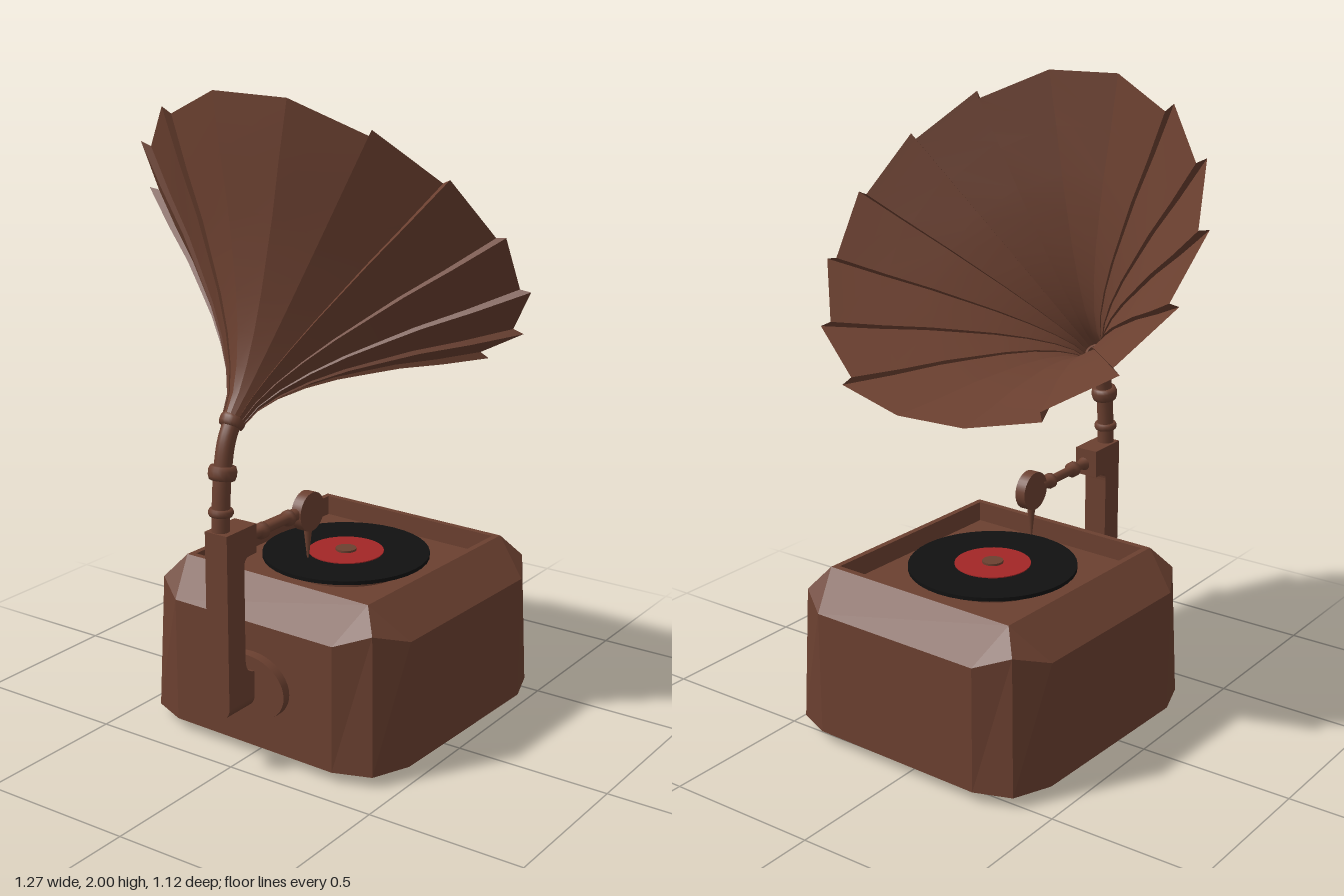
import * as THREE from 'three';

const brown = new THREE.MeshStandardMaterial({ color: 0x6b4030, side: THREE.DoubleSide });
brown.name = 'brown wood';
const black = new THREE.MeshStandardMaterial({ color: 0x111111 });
black.name = 'black vinyl';
const red = new THREE.MeshStandardMaterial({ color: 0xa32626 });
red.name = 'red label';

function add(parent, name, geometry, material = brown) {
  const mesh = new THREE.Mesh(geometry, material);
  mesh.name = name;
  parent.add(mesh);
  return mesh;
}

// Builds an indexed surface from equal-length rows of [x, y, z]
function surface(rows, closed) {
  const n = rows[0].length, index = [];
  for (let i = 0; i < rows.length - 1; i++) {
    for (let j = 0; j < (closed ? n : n - 1); j++) {
      const k = (j + 1) % n;
      const a = i * n + j, b = i * n + k, c = (i + 1) * n + k, d = (i + 1) * n + j;
      index.push(a, b, c, a, c, d);
    }
  }
  const g = new THREE.BufferGeometry();
  g.setAttribute('position', new THREE.Float32BufferAttribute(rows.flat(2), 3));
  g.setIndex(index);
  return g;
}

// Horizontal ring of four corners, each given by three points [x, y, z] in the positive quadrant
function cornerRing(points) {
  const ring = [];
  for (const [sx, sz] of [[1, 1], [1, -1], [-1, -1], [-1, 1]]) {
    const corner = points.map(([x, y, z]) => [x * sx, y, z * sz]);
    ring.push(...(sx * sz > 0 ? corner : corner.reverse()));
  }
  return ring;
}
const square = (x, y, z) => cornerRing([[x, y, z], [x, y, z], [x, y, z]]);

// Cabinet with cut corners, sloped shoulders, a sunken top and a shallow pointed base
function cabinetGeometry() {
  const g = surface([
    square(0, 0, 0),
    cornerRing([[0.3, 0.035, 0.478], [0.415, 0.035, 0.432], [0.4625, 0.035, 0.31]]),
    cornerRing([[0.3, 0.435, 0.478], [0.4, 0.47, 0.417], [0.4625, 0.435, 0.31]]),
    square(0.347, 0.54, 0.365),
    square(0.328, 0.54, 0.345),
    square(0.328, 0.475, 0.345),
    square(0, 0.475, 0),
  ], true).toNonIndexed();
  g.computeVertexNormals();
  return g;
}

// C-shaped bracket outline in z and y
function bracketGeometry() {
  const s = new THREE.Shape();
  s.moveTo(0.555, 0.22);
  s.lineTo(0.555, 0.76);
  s.lineTo(0.415, 0.76);
  s.lineTo(0.415, 0.67);
  s.lineTo(0.45, 0.67);
  s.quadraticCurveTo(0.475, 0.67, 0.475, 0.64);
  s.lineTo(0.475, 0.35);
  s.quadraticCurveTo(0.475, 0.305, 0.43, 0.3);
  s.lineTo(0.41, 0.3);
  s.lineTo(0.41, 0.22);
  const g = new THREE.ExtrudeGeometry(s, { depth: 0.08, bevelEnabled: false, curveSegments: 6 });
  return g.rotateY(-Math.PI / 2).translate(0.0425, 0, 0);
}

// Horn panels: straight across, stepped where neighbours overlap
function buildHorn() {
  const horn = new THREE.Group();
  horn.name = 'horn';
  const profile = [[0, 0.035], [0.06, 0.05], [0.13, 0.087], [0.21, 0.145], [0.295, 0.22],
    [0.37, 0.297], [0.45, 0.38], [0.55, 0.498], [0.665, 0.625]];
  const count = 16, step = Math.PI * 2 / count, high = 1.03, low = 0.975;
  const column = (angle, scale) => profile.map(([s, r]) => {
    const k = r * scale;
    return [k * Math.sin(angle), s, k * Math.cos(angle)];
  });
  const strip = (name, a, b) => {
    const g = surface([a, b], false);
    g.computeVertexNormals();
    add(horn, name, g);
  };
  // Each panel is widest at the end nearer the top
  const scales = (k) => {
    if (k === 0) return [high, high];
    if (k === count / 2) return [low, low];
    return k < count / 2 ? [high, low] : [low, high];
  };
  for (let k = 0; k < count; k++) {
    const start = (k - 0.5) * step + 0.035, end = start + step;
    const [s0, s1] = scales(k), next = scales((k + 1) % count)[0];
    strip('hornPanel', column(start, s0), column(end, s1));
    if (next !== s1) strip('hornSeam', column(end, s1), column(end, next));
  }
  // Local y runs along the horn axis, local z points to the top of the mouth
  const axis = new THREE.Vector3(0, 0.678, -0.735).normalize();
  const up = new THREE.Vector3(0, 0.735, 0.678).normalize();
  const side = new THREE.Vector3().crossVectors(axis, up);
  horn.quaternion.setFromRotationMatrix(new THREE.Matrix4().makeBasis(side, axis, up));
  horn.position.set(0, 1.08, 0.46);
  return horn;
}

export function createModel() {
  const model = new THREE.Group();
  model.name = 'gramophone';

  // Cabinet and record, turned very slightly
  const base = new THREE.Group();
  base.name = 'base';
  base.position.set(0.0225, 0, -0.077);
  base.rotation.y = -0.033;
  model.add(base);
  add(base, 'cabinet', cabinetGeometry());
  for (const [name, r, bottom, top, mat] of [
    ['platter', 0.2, 0.475, 0.51, brown],
    ['record', 0.266, 0.508, 0.52, black],
    ['recordLabel', 0.12, 0.518, 0.523, red],
    ['spindle', 0.033, 0.518, 0.53, brown],
  ]) {
    add(base, name, new THREE.CylinderGeometry(r, r, top - bottom, 40), mat)
      .position.y = (bottom + top) / 2;
  }

  // Oval mounting plate and bracket
  const plate = add(model, 'mountingPlate', new THREE.CylinderGeometry(0.138, 0.138, 0.05, 40));
  plate.rotation.x = Math.PI / 2;
  plate.scale.z = 0.76;
  plate.position.set(0.0125, 0.24, 0.409);
  add(model, 'bracket', bracketGeometry());
  const foot = add(model, 'bracketFoot', new THREE.CylinderGeometry(0.04, 0.04, 0.145, 24));
  foot.rotation.x = Math.PI / 2;
  foot.position.set(0.0025, 0.22, 0.4825);

  // Tone arm with collars, lathed along z
  const armProfile = [[0.41, 0.022], [0.395, 0.015], [0.36, 0.015], [0.355, 0.025], [0.335, 0.025],
    [0.33, 0.015], [0.225, 0.015], [0.22, 0.025], [0.205, 0.025], [0.2, 0.016], [0.16, 0.02]];
  const arm = add(model, 'toneArm',
    new THREE.LatheGeometry(armProfile.map(([z, r]) => new THREE.Vector2(r, z)), 16));
  arm.rotation.x = Math.PI / 2;
  arm.position.set(0.008, 0.71, 0);
  const head = add(model, 'soundBox', new THREE.CylinderGeometry(0.062, 0.062, 0.035, 32));
  head.rotation.z = Math.PI / 2;
  head.position.set(0.012, 0.707, 0.116);
  const needle = add(model, 'needle', new THREE.CylinderGeometry(0.014, 0.003, 0.1, 12));
  needle.position.set(0.012, 0.605, 0.116);

  // Curved neck with collars
  const path = new THREE.CatmullRomCurve3([[0.75, 0.525], [0.82, 0.522], [0.93, 0.512],
    [1.02, 0.492], [1.09, 0.453]].map(([y, z]) => new THREE.Vector3(-0.003, y, z)));
  add(model, 'neck', new THREE.TubeGeometry(path, 24, 0.027, 16));
  for (const [t, r, h] of [[0.19, 0.037, 0.022], [0.52, 0.042, 0.04], [0.95, 0.038, 0.035]]) {
    const collar = add(model, 'neckCollar', new THREE.LatheGeometry([
      [0.026, -h / 2], [r * 0.9, -h / 2], [r, -h / 5], [r, h / 5], [r * 0.9, h / 2], [0.026, h / 2],
    ].map(([x, y]) => new THREE.Vector2(x, y)), 20));
    collar.position.copy(path.getPointAt(t));
    collar.quaternion.setFromUnitVectors(new THREE.Vector3(0, 1, 0), path.getTangentAt(t));
  }

  model.add(buildHorn());
  return model;
}
